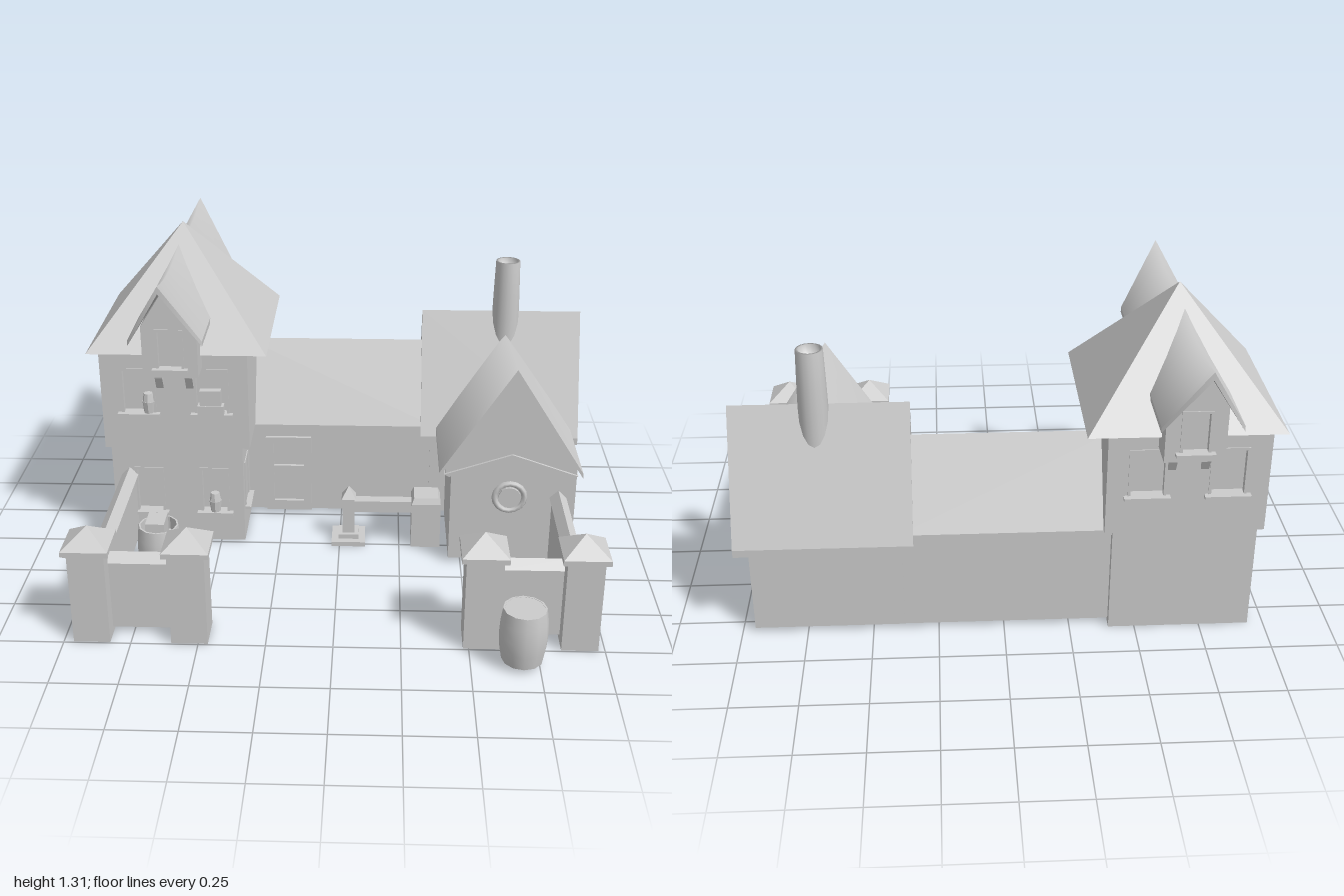
import * as THREE from 'three';
import { mergeGeometries } from 'three/addons/utils/BufferGeometryUtils.js';

// walls and roofs are open shells, so both sides show
const flat = new THREE.MeshStandardMaterial({ color: 0xcccccc, flatShading: true, side: THREE.DoubleSide });
const smooth = new THREE.MeshStandardMaterial({ color: 0xcccccc, side: THREE.DoubleSide });

function add(parent, name, geo, x = 0, y = 0, z = 0, mat = flat) {
  const m = new THREE.Mesh(geo, mat);
  m.name = name;
  m.position.set(x, y, z);
  parent.add(m);
  return m;
}

// leave out the faces lying in the given planes, each [axis, value]
function open(geo, ...planes) {
  const g = geo.index ? geo.toNonIndexed() : geo;
  const p = g.attributes.position, keep = [];
  for (let i = 0; i < p.count; i += 3) {
    const lies = ([axis, v]) => [0, 1, 2].every(k => Math.abs(p.getComponent(i + k, axis) - v) < 1e-5);
    if (!planes.some(lies)) keep.push(i, i + 1, i + 2);
  }
  g.setIndex(keep);
  return g;
}

// box given by its min and max on each axis
function box(parent, name, x0, x1, y0, y1, z0, z1) {
  return add(parent, name, new THREE.BoxGeometry(x1 - x0, y1 - y0, z1 - z0),
    (x0 + x1) / 2, (y0 + y1) / 2, (z0 + z1) / 2);
}

// box without a floor
function shell(...args) {
  const m = box(...args);
  m.geometry = open(m.geometry, [1, -(args[5] - args[4]) / 2]);
}

function outline(pts) {
  return new THREE.Shape(pts.map(([x, y]) => new THREE.Vector2(x, y)));
}
const rect = (x0, x1, y0, y1) => [[x0, y0], [x1, y0], [x1, y1], [x0, y1]];
const extrude = (shape, depth) => new THREE.ExtrudeGeometry(shape, { depth, bevelEnabled: false });

// upright slab in the xy plane with rectangular openings
function panel(parent, name, pts, holes, z0, z1, planes = []) {
  const s = outline(pts);
  holes.forEach(h => s.holes.push(outline(rect(...h))));
  return add(parent, name, open(extrude(s, z1 - z0), ...planes), 0, 0, z0);
}

// sheet through rows of points, its triangles mirrored about the middle column
function strip(rows) {
  const n = rows[0].length, idx = [];
  for (let i = 0; i < rows.length - 1; i++) for (let j = 0; j < n - 1; j++) {
    const a = i * n + j, b = a + n;
    if (j) idx.push(a, b, b + 1, a, b + 1, a + 1);
    else idx.push(a, b, a + 1, a + 1, b, b + 1);
  }
  const g = new THREE.BufferGeometry();
  g.setAttribute('position', new THREE.Float32BufferAttribute(rows.flat(2), 3));
  g.setIndex(idx);
  g.computeVertexNormals();
  return g.toNonIndexed();
}

// thin roof from rows of [eave, ridge, eave]
function roof(parent, name, rows, t, mat = flat) {
  const low = rows.map(r => r.map(([x, y, z], j) => [x, y - (j === 1 ? t * 1.5 : t), z]));
  const last = rows.length - 1;
  return add(parent, name, mergeGeometries([
    strip(rows), strip(low),
    strip([rows.map(r => r[0]), low.map(r => r[0])]),
    strip([rows.map(r => r[2]), low.map(r => r[2])]),
    strip([rows[0], low[0]]), strip([rows[last], low[last]]),
  ]), 0, 0, 0, mat);
}

// floorless gabled body whose ridge runs along x
function gableX(parent, name, x0, x1, z0, z1, yEave, yTop) {
  const s = outline([[-z1, 0.02], [-z0, 0.02], [-z0, yEave], [-(z0 + z1) / 2, yTop], [-z1, yEave]]);
  const m = add(parent, name, open(extrude(s, x1 - x0), [1, 0.02]), x0);
  m.rotation.y = Math.PI / 2;
}

// frame bars and sill around an opening; dir is the outward side in z
function windowFrame(parent, [x0, x1, y0, y1], z, dir) {
  const g = new THREE.Group();
  g.name = 'window';
  const b = 0.01;
  const bar = (n, a, c, d, e, out) => box(g, n, a, c, d, e, Math.min(z - dir * 0.02, z + dir * out), Math.max(z - dir * 0.02, z + dir * out));
  bar('jamb', x0, x0 + b, y0, y1, 0.004);
  bar('jamb', x1 - b, x1, y0, y1, 0.004);
  bar('lintel', x0, x1, y1 - b, y1, 0.004);
  bar('sill', x0 - 0.015, x1 + 0.015, y0 - 0.012, y0, 0.025);
  parent.add(g);
}

// barrel whose head lies at the given height
function barrel(parent, x, z, head) {
  const part = (name, pts, mat) => add(parent, name,
    new THREE.LatheGeometry(pts.map(q => new THREE.Vector2(...q)), 12), x, 0, z, mat);
  part('barrelStaves', [[0.076, 0.022], [0.085, 0.075], [0.089, 0.13], [0.086, 0.185], [0.079, 0.235]], smooth);
  part('barrelBottom', [[0, 0.022], [0.076, 0.022]], flat);
  part('barrelHead', [[0.079, 0.235], [0.072, 0.235], [0.072, head], [0, head]], flat);
}

function pyramid(parent, name, half, h, x, y, z) {
  const g = new THREE.ConeGeometry(half * Math.SQRT2, h, 4);
  g.rotateY(Math.PI / 4);
  return add(parent, name, g, x, y + h / 2, z);
}

function pot(parent, x, y, z) {
  add(parent, 'pot', new THREE.CylinderGeometry(0.026, 0.02, 0.05, 8), x, y + 0.025, z);
  add(parent, 'potPlant', new THREE.CylinderGeometry(0.018, 0.024, 0.035, 8), x, y + 0.067, z);
}

function tower(root) {
  const g = new THREE.Group();
  g.name = 'tower';
  root.add(g);
  // lower floor
  const lower = [[-0.85, -0.73, 0.14, 0.34], [-0.58, -0.46, 0.14, 0.34]];
  shell(g, 'lowerFloor', -0.94, -0.4, 0, 0.44, -0.595, -0.05);
  panel(g, 'lowerFront', rect(-0.94, -0.4, 0, 0.44), lower, -0.05, -0.02, [[1, 0], [2, 0]]);
  lower.forEach(w => windowFrame(g, w, -0.02, 1));
  const side = new THREE.Group();
  side.name = 'sideWindow';
  side.position.set(-0.4, 0, -0.13);
  side.rotation.y = Math.PI / 2;
  windowFrame(side, [-0.06, 0.06, 0.14, 0.34], 0, 1);
  g.add(side);
  // upper floor with windows front and back
  const upper = [[-0.88, -0.74, 0.6, 0.79], [-0.585, -0.445, 0.6, 0.79]];
  box(g, 'upperFloor', -0.96, -0.367, 0.44, 0.88, -0.585, -0.03);
  [[-0.03, 0, 0, 1, 0], [-0.615, -0.585, -0.615, -1, 0.03]].forEach(([a, b, face, dir, inner]) => {
    panel(g, 'upperWall', rect(-0.96, -0.367, 0.44, 0.88), upper, a, b, [[2, inner]]);
    upper.forEach(w => windowFrame(g, w, face, dir));
  });
  // pots and planter on the sills
  box(g, 'planter', -0.57, -0.465, 0.6, 0.64, -0.01, 0.03);
  box(g, 'plants', -0.56, -0.475, 0.64, 0.705, -0.005, 0.025);
  pot(g, -0.77, 0.6, 0);
  pot(g, -0.52, 0.14, -0.02);
  pyramid(g, 'towerRoof', 0.357, 0.44, -0.643, 0.868, -0.31);
  // dormers front and back
  [1, -1].forEach(dir => {
    const d = new THREE.Group();
    d.name = 'dormer';
    d.position.set(-0.655, 0, -0.308);
    d.scale.z = dir;
    g.add(d);
    const wall = [[-0.108, 0.8], [0.108, 0.8], [0.108, 1.01], [0, 1.18], [-0.108, 1.01]];
    const hole = [-0.055, 0.055, 0.84, 1.0];
    panel(d, 'dormerBody', wall, [], 0.05, 0.4);
    panel(d, 'dormerFront', wall, [hole], 0.4, 0.42, [[2, 0]]);
    windowFrame(d, hole, 0.42, 1);
    const rows = [];
    for (let i = 0; i <= 8; i++) {
      const t = i / 8, r = 0.05 + 0.56 * t, e = 0.05 + 0.465 * t;
      const y = 1.207 + 0.033 * ((r - 0.31) / 0.3) ** 2;
      rows.push([[-0.142, 0.99, e], [0, y, r], [0.142, 0.99, e]]);
    }
    roof(d, 'dormerRoof', rows, 0.02, smooth);
    // brackets carrying the dormer
    [-0.08, 0.04].forEach(x => {
      const s = outline([[-0.3, 0.8], [-0.345, 0.8], [-0.335, 0.76], [-0.3, 0.69]]);
      const b = add(d, 'bracket', extrude(s, 0.03), x);
      b.rotation.y = Math.PI / 2;
    });
  });
}

function wing(root) {
  const g = new THREE.Group();
  g.name = 'wing';
  root.add(g);
  gableX(g, 'wingWalls', -0.4, 0.38, -0.565, -0.27, 0.43, 0.73);
  roof(g, 'wingRoof', [-0.42, 0.4].map(x => [[x, 0.435, -0.588], [x, 0.765, -0.417], [x, 0.435, -0.246]]), 0.02);
  // panelled door
  panel(g, 'door', rect(-0.325, -0.13, 0.02, 0.37), [[-0.292, -0.163, 0.235, 0.342], [-0.292, -0.163, 0.065, 0.2]], -0.27, -0.255, [[2, 0]]);
}

function house(root) {
  const g = new THREE.Group();
  g.name = 'house';
  root.add(g);
  gableX(g, 'mainWalls', 0.38, 0.95, -0.567, -0.265, 0.46, 0.85);
  roof(g, 'mainRoof', [0.337, 1].map(x => [[x, 0.4, -0.607], [x, 0.9, -0.415], [x, 0.4, -0.223]]), 0.03);
  // forward block
  panel(g, 'frontWalls', [[0.45, 0.02], [0.95, 0.02], [0.95, 0.44], [0.687, 0.8], [0.45, 0.44]], [], -0.265, 0.13, [[1, 0.02], [2, 0]]);
  panel(g, 'gable', [[0.425, 0.42], [0.687, 0.49], [0.945, 0.42], [0.945, 0.45], [0.687, 0.842], [0.425, 0.45]], [], 0.12, 0.155);
  const rows = [];
  for (let i = 0; i <= 6; i++) {
    const t = i / 6, z = 0.172 - 0.46 * t;
    rows.push([[0.402, 0.435, z], [0.687, 0.875 - 0.065 * t, 0.172 - 0.55 * t], [0.968, 0.435, z]]);
  }
  roof(g, 'frontRoof', rows, 0.02, smooth);
  // shallow peaked beam and round window below the gable
  panel(g, 'gableBeam', [[0.42, 0.42], [0.44, 0.41], [0.687, 0.49], [0.93, 0.41], [0.95, 0.42], [0.687, 0.51]], [], 0.12, 0.165);
  add(g, 'roundWindow', new THREE.TorusGeometry(0.06, 0.012, 6, 16), 0.687, 0.305, 0.13, smooth);
  const pane = add(g, 'roundPane', new THREE.CylinderGeometry(0.045, 0.045, 0.02, 16), 0.687, 0.305, 0.13);
  pane.rotation.x = Math.PI / 2;
  // hollow chimney
  const p = [[0.054, 0.6], [0.056, 0.88], [0.054, 0.98], [0.05, 1.12], [0.041, 1.12], [0.041, 1.08], [0, 1.08]];
  add(g, 'chimney', new THREE.LatheGeometry(p.map(q => new THREE.Vector2(...q)), 16), 0.687, 0, -0.418, smooth);
}

function yard(root) {
  const g = new THREE.Group();
  g.name = 'yard';
  root.add(g);
  // pillars with pyramid caps
  [-0.895, -0.532, 0.547, 0.907].forEach(x => {
    shell(g, 'pillar', x - 0.068, x + 0.068, 0, 0.375, 0.606, 0.744);
    box(g, 'capSlab', x - 0.086, x + 0.086, 0.37, 0.39, 0.589, 0.761);
    pyramid(g, 'cap', 0.086, 0.065, x, 0.39, 0.675);
  });
  // low walls with peaked coping, laid along x and turned where they run along z
  const low = (cx, cz, len, turn) => {
    const w = new THREE.Group();
    w.name = 'lowWall';
    w.position.set(cx, 0, cz);
    w.rotation.y = turn;
    g.add(w);
    const h = len / 2;
    shell(w, 'wallBody', -h, h, 0.025, 0.31, -0.024, 0.024);
    const c = add(w, 'coping', extrude(outline([[-0.034, 0.305], [0.034, 0.305], [0, 0.338]]), len), -h);
    c.rotation.y = Math.PI / 2;
  };
  low(-0.871, 0.285, 0.61, Math.PI / 2);
  low(0.881, 0.36, 0.46, Math.PI / 2);
  low(-0.715, 0.655, 0.25, 0);
  low(0.725, 0.655, 0.25, 0);
  barrel(g, 0.687, 0.825, 0.234);
  barrel(g, -0.71, 0.272, 0.18);
  box(g, 'barrelBox', -0.755, -0.68, 0.18, 0.26, 0.22, 0.32);
  // post, rail and end block beside the house
  box(g, 'postBase', -0.033, 0.107, 0, 0.02, -0.117, 0.02);
  box(g, 'postStep', -0.005, 0.08, 0.02, 0.04, -0.09, -0.008);
  box(g, 'post', 0.012, 0.062, 0.04, 0.205, -0.074, -0.024);
  pyramid(g, 'postTip', 0.03, 0.05, 0.038, 0.2, -0.049);
  box(g, 'rail', 0.06, 0.31, 0.14, 0.19, -0.072, -0.025);
  shell(g, 'endBlock', 0.3, 0.42, 0, 0.2, -0.105, 0.015);
  const top = add(g, 'endBlockTop', new THREE.CylinderGeometry(0.05 * Math.SQRT2, 0.06 * Math.SQRT2, 0.025, 4), 0.36, 0.2125, -0.045);
  top.rotation.y = Math.PI / 4;
}

export function createModel() {
  const root = new THREE.Group();
  root.name = 'cottage';
  tower(root);
  wing(root);
  house(root);
  yard(root);
  return root;
}
